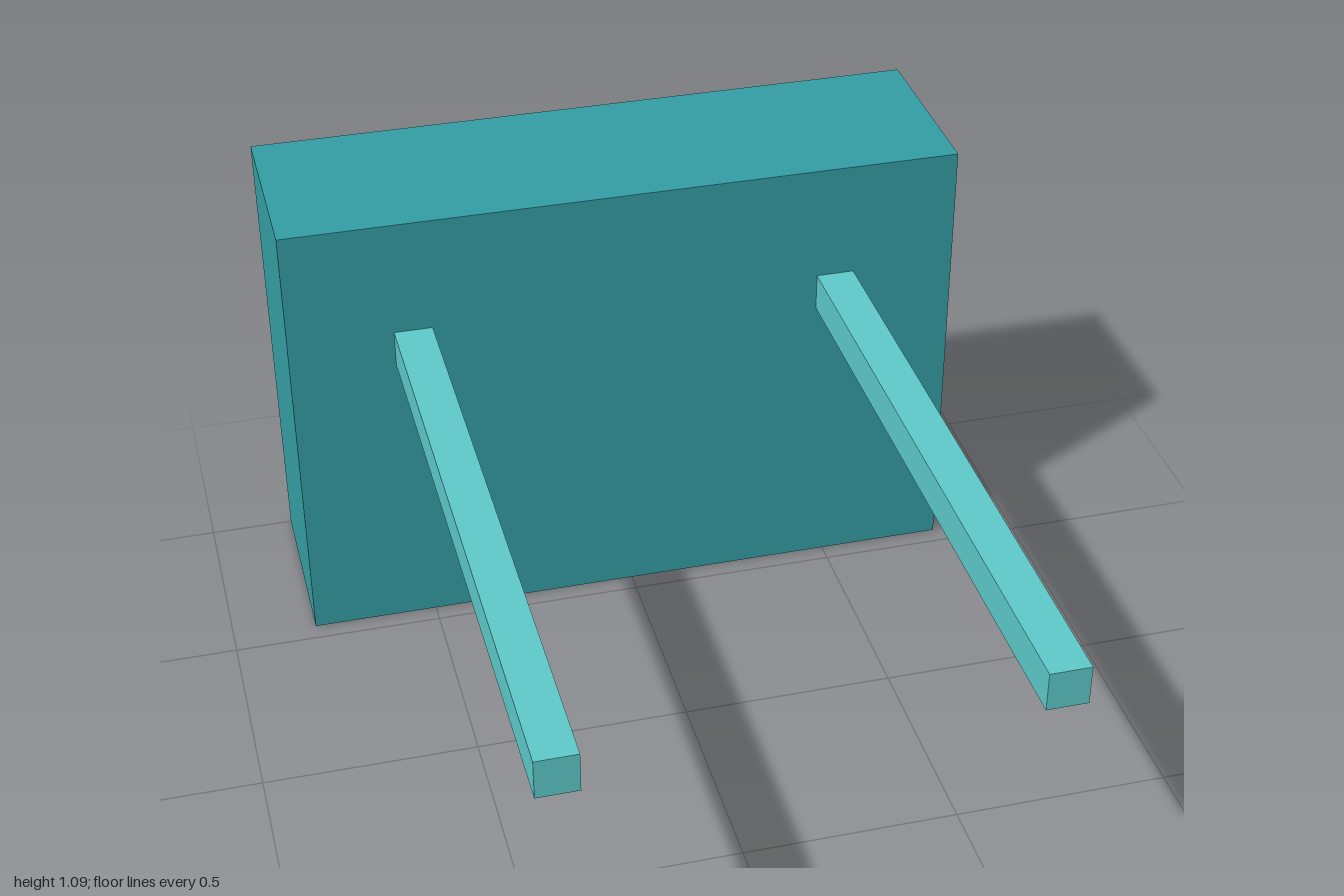
import * as THREE from 'three';

export function createModel() {
  const model = new THREE.Group();
  const teal = new THREE.MeshStandardMaterial({ color: 0x359fa6 });
  teal.name = 'teal';
  const lightTeal = new THREE.MeshStandardMaterial({ color: 0x5fcbcb });
  lightTeal.name = 'lightTeal';

  // Adds a box spanning two opposite corners
  const addBox = (name, material, min, max) => {
    const size = max.map((v, i) => v - min[i]);
    const mesh = new THREE.Mesh(new THREE.BoxGeometry(...size), material);
    mesh.position.set(...max.map((v, i) => (v + min[i]) / 2));
    mesh.name = name;
    model.add(mesh);
  };

  // Upright block at the back
  addBox('body', teal, [-0.8, 0, -1], [0.8, 1.09, -0.546]);

  // Pair of square bars reaching forward
  for (const [name, x] of [['leftBar', 0.508], ['rightBar', -0.508]]) {
    addBox(name, lightTeal, [x - 0.045, 0.72, -0.546], [x + 0.045, 0.81, 1]);
  }

  return model;
}
